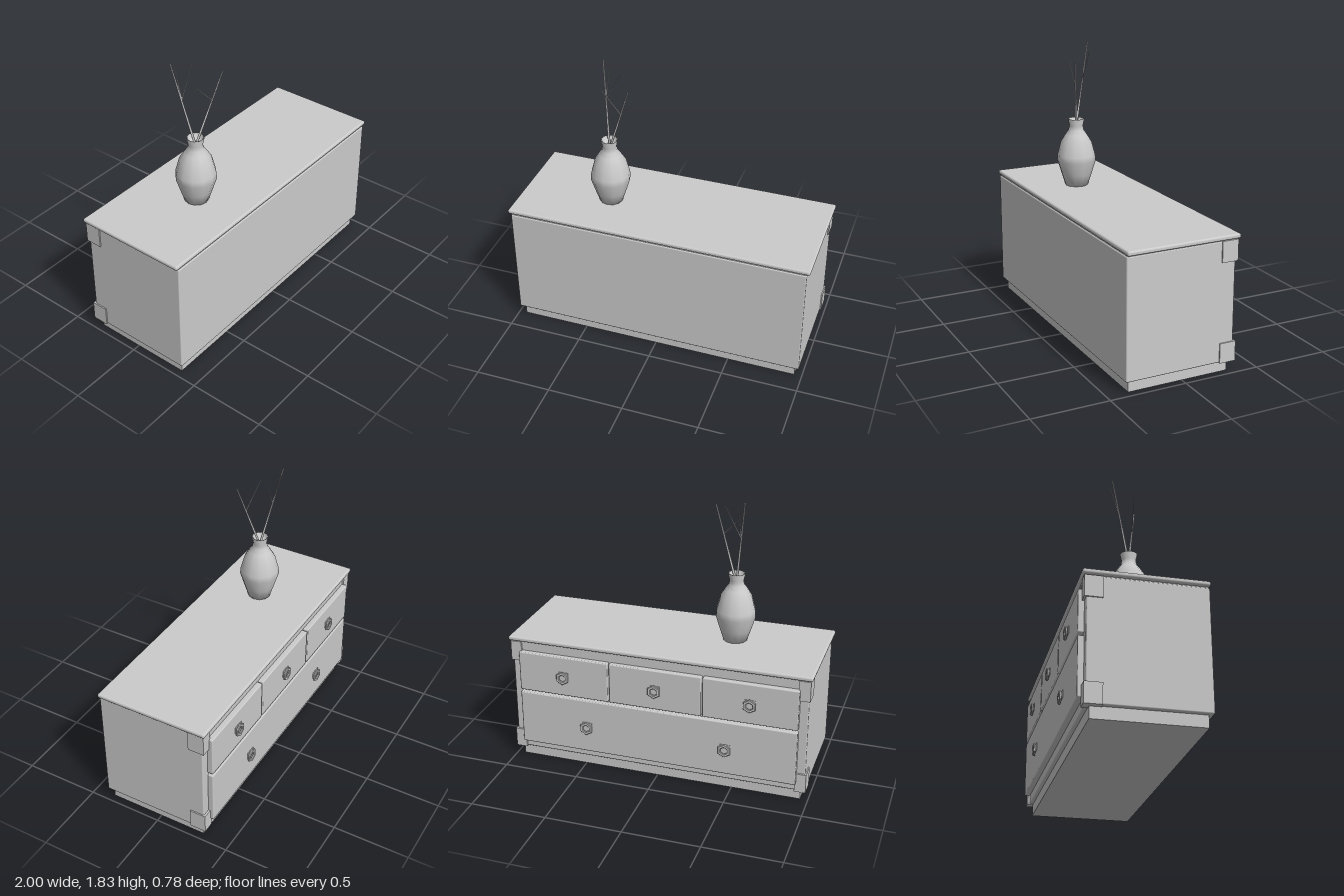
import * as THREE from 'three';
import { RoundedBoxGeometry } from 'three/addons/geometries/RoundedBoxGeometry.js';

export function createModel() {
  const root = new THREE.Group();
  root.name = 'sideboardWithVase';
  const mat = new THREE.MeshStandardMaterial({ color: 0xcccccc });
  const flatMat = new THREE.MeshStandardMaterial({ color: 0xcccccc, flatShading: true });
  const openMat = new THREE.MeshStandardMaterial({ color: 0xcccccc, side: THREE.DoubleSide });

  const add = (name, geometry, material = mat, parent = root) => {
    const mesh = new THREE.Mesh(geometry, material);
    mesh.name = name;
    parent.add(mesh);
    return mesh;
  };

  // Box given by its minimum and maximum corners, with optional rounded edges
  const box = (name, x0, x1, y0, y1, z0, z1, r = 0, parent = root) => {
    const s = [x1 - x0, y1 - y0, z1 - z0];
    const g = r ? new RoundedBoxGeometry(...s, 2, r) : new THREE.BoxGeometry(...s);
    const mesh = add(name, g, mat, parent);
    mesh.position.set((x0 + x1) / 2, (y0 + y1) / 2, (z0 + z1) / 2);
    return mesh;
  };

  // Cabinet
  box('plinth', -0.95, 0.95, 0, 0.085, -0.31, 0.36);
  box('carcass', -0.98, 0.98, 0.075, 0.845, -0.335, 0.388, 0.008);
  box('topMoulding', -0.975, 0.975, 0.835, 0.86, -0.34, 0.38);
  box('tabletop', -1, 1, 0.852, 0.882, -0.36, 0.39, 0.012);

  // Corner guards wrapping the drawer-side edges
  for (const side of [-1, 1]) {
    for (const [y0, y1] of [[0.072, 0.2], [0.712, 0.846]]) {
      const a = side * 0.915, b = side * 0.988;
      box('cornerGuard', Math.min(a, b), Math.max(a, b), y0, y1, -0.348, -0.24);
    }
  }

  // Hexagonal ring pull on a thin backing plate
  const hexPath = (path, r) => {
    const pts = [];
    for (let i = 0; i < 6; i++) {
      const a = Math.PI / 2 + (i * Math.PI) / 3;
      pts.push(new THREE.Vector2(r * Math.cos(a), r * Math.sin(a)));
    }
    return path.setFromPoints(pts);
  };
  const ringShape = hexPath(new THREE.Shape(), 0.042);
  ringShape.holes.push(hexPath(new THREE.Path(), 0.028));
  const ringGeo = new THREE.ExtrudeGeometry(ringShape, {
    depth: 0.008, bevelEnabled: true, bevelSize: 0.003, bevelThickness: 0.003, bevelSegments: 1,
  });
  const addPull = (x, y) => {
    const pull = new THREE.Group();
    pull.name = 'drawerPull';
    pull.position.set(x, y, 0);
    root.add(pull);
    box('pullPlate', -0.036, 0.036, -0.012, 0.036, -0.375, -0.368, 0, pull);
    box('pullMount', -0.008, 0.008, 0.022, 0.038, -0.386, -0.37, 0, pull);
    add('pullRing', ringGeo, flatMat, pull).position.z = -0.389;
  };

  // Three small drawers over one wide drawer
  for (const i of [-1, 0, 1]) {
    const x = i * 0.62;
    box('smallDrawer', x - 0.305, x + 0.305, 0.515, 0.785, -0.371, -0.33, 0.007);
    addPull(x, 0.645);
  }
  box('wideDrawer', -0.925, 0.925, 0.13, 0.498, -0.371, -0.33, 0.007);
  for (const x of [-0.465, 0.465]) addPull(x, 0.305);

  // Vase, with a shallow floor inside its neck
  const profile = [
    [0, 0.881], [0.076, 0.881], [0.102, 0.96], [0.13, 1.05], [0.127, 1.09], [0.103, 1.18],
    [0.072, 1.23], [0.051, 1.26], [0.046, 1.29], [0.056, 1.335], [0.049, 1.335], [0.039, 1.29], [0, 1.288],
  ].map(([r, y]) => new THREE.Vector2(r, y));
  const vase = add('vase', new THREE.LatheGeometry(profile, 12), openMat);
  vase.position.set(-0.41, 0, 0.05);

  // Dry twigs, each a tapering stick between two points
  const twig = (from, to, r) => {
    const a = new THREE.Vector3(...from), b = new THREE.Vector3(...to);
    const dir = b.clone().sub(a);
    const mesh = add('twig', new THREE.CylinderGeometry(r * 0.6, r, dir.length(), 6));
    mesh.position.copy(a).add(b).multiplyScalar(0.5);
    mesh.quaternion.setFromUnitVectors(new THREE.Vector3(0, 1, 0), dir.normalize());
  };
  twig([-0.405, 1.28, 0.05], [-0.245, 1.745, 0.13], 0.008);
  twig([-0.31, 1.568, 0.098], [-0.46, 1.725, 0.077], 0.004);
  twig([-0.41, 1.28, 0.05], [-0.48, 1.83, -0.07], 0.008);
  twig([-0.447, 1.59, -0.015], [-0.345, 1.785, -0.02], 0.004);
  twig([-0.447, 1.59, -0.015], [-0.44, 1.805, -0.08], 0.004);

  return root;
}
